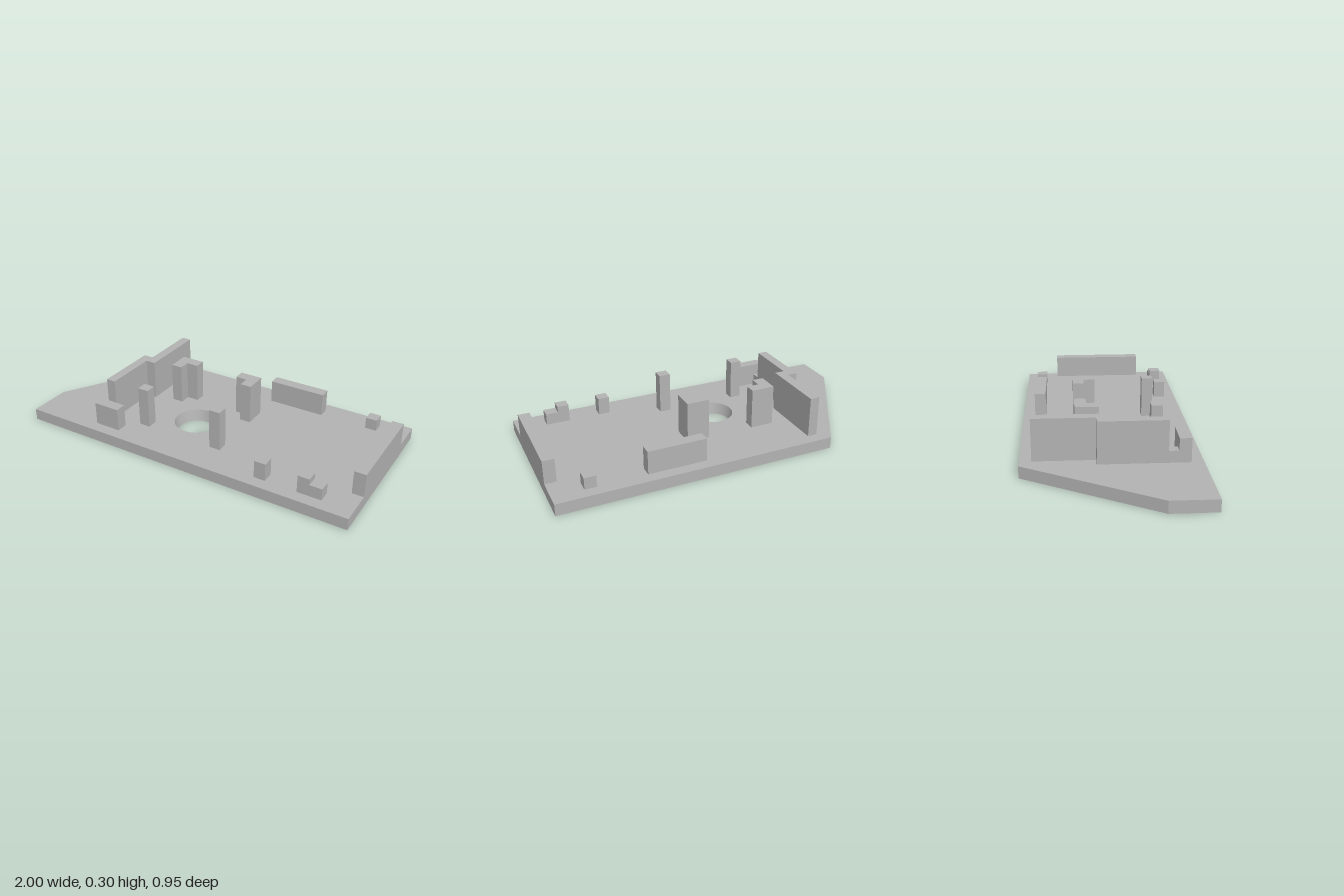
import * as THREE from 'three';
import { toCreasedNormals } from 'three/addons/utils/BufferGeometryUtils.js';

const BASE = 0.067, LOW = 0.133, STUB = 0.167, MID = 0.2, TALL = 0.3;

// Footprint given as [x, z] corners
const footprint = (pts) => new THREE.Shape(pts.map(([x, z]) => new THREE.Vector2(x, -z)));
const rect = (x0, x1, z0, z1) => [[x0, z1], [x1, z1], [x1, z0], [x0, z0]];

// Upright prism from y0 to y1
function prism(shape, y0, y1) {
  const g = new THREE.ExtrudeGeometry(shape, { depth: y1 - y0, bevelEnabled: false });
  return g.rotateX(-Math.PI / 2).translate(0, y0, 0);
}

export function createModel() {
  const model = new THREE.Group();
  model.name = 'mountingPlate';
  const grey = new THREE.MeshStandardMaterial({ color: 0xb2b2b2 });
  grey.name = 'grey';

  const add = (name, geometry) => {
    const mesh = new THREE.Mesh(geometry, grey);
    mesh.name = name;
    model.add(mesh);
  };
  const raise = (name, pts, top) => add(name, prism(footprint(pts), BASE, top));

  // Base plate with a cut corner and a tapered round hole
  const hx = -0.1, hz = 0.09, rBottom = 0.115, rTop = 0.13;
  const plate = footprint([[-1, 0.475], [1, 0.475], [1, -0.475], [-0.58, -0.475], [-1, 0.23]]);
  const ring = [];
  for (let i = 0; i < 48; i++) {
    const a = (i / 48) * Math.PI * 2;
    ring.push(new THREE.Vector2(hx + rBottom * Math.cos(a), -hz - rBottom * Math.sin(a)));
  }
  plate.holes.push(new THREE.Path(ring));
  const baseGeo = prism(plate, 0, BASE);
  const p = baseGeo.attributes.position;
  for (let i = 0; i < p.count; i++) {
    const dx = p.getX(i) - hx, dz = p.getZ(i) - hz;
    if (p.getY(i) > BASE / 2 && Math.hypot(dx, dz) < 0.14) {
      p.setX(i, hx + dx * rTop / rBottom);
      p.setZ(i, hz + dz * rTop / rBottom);
    }
  }
  add('basePlate', toCreasedNormals(baseGeo, Math.PI / 6));

  // Stepped side wall with a low link to its front block
  raise('steppedWall', [[-0.583, 0.29], [-0.528, 0.29], [-0.528, -0.02], [-0.47, -0.02],
    [-0.47, -0.41], [-0.525, -0.41], [-0.525, -0.077], [-0.583, -0.077]], TALL);
  raise('wallLink', rect(-0.583, -0.528, 0.29, 0.343), LOW);
  raise('wallFrontBlock', rect(-0.583, -0.427, 0.343, 0.408), MID);

  // L-shaped corner posts behind the hole, square posts in front
  raise('cornerPostRight', [[-0.365, -0.055], [-0.3, -0.055], [-0.3, -0.12],
    [-0.23, -0.12], [-0.23, -0.183], [-0.365, -0.183]], TALL);
  raise('cornerPostLeft', [[0.105, -0.055], [0.17, -0.055], [0.17, -0.183],
    [0.04, -0.183], [0.04, -0.12], [0.105, -0.12]], TALL);
  raise('squarePostRight', rect(-0.365, -0.3, 0.223, 0.285), TALL);
  raise('squarePostLeft', rect(0.105, 0.17, 0.223, 0.285), TALL);

  // Long stops at the back and at the end
  raise('backStop', rect(0.16, 0.492, -0.41, -0.345), MID);
  raise('endWall', rect(0.935, 1, -0.278, 0.275), MID);

  // Small pegs
  raise('backPeg', rect(0.765, 0.83, -0.41, -0.345), LOW);
  raise('frontPeg', rect(0.45, 0.515, 0.343, 0.408), STUB);
  raise('stepPegHigh', rect(0.695, 0.76, 0.343, 0.408), STUB);
  raise('stepPegLow', rect(0.76, 0.83, 0.343, 0.408), LOW);

  return model;
}
